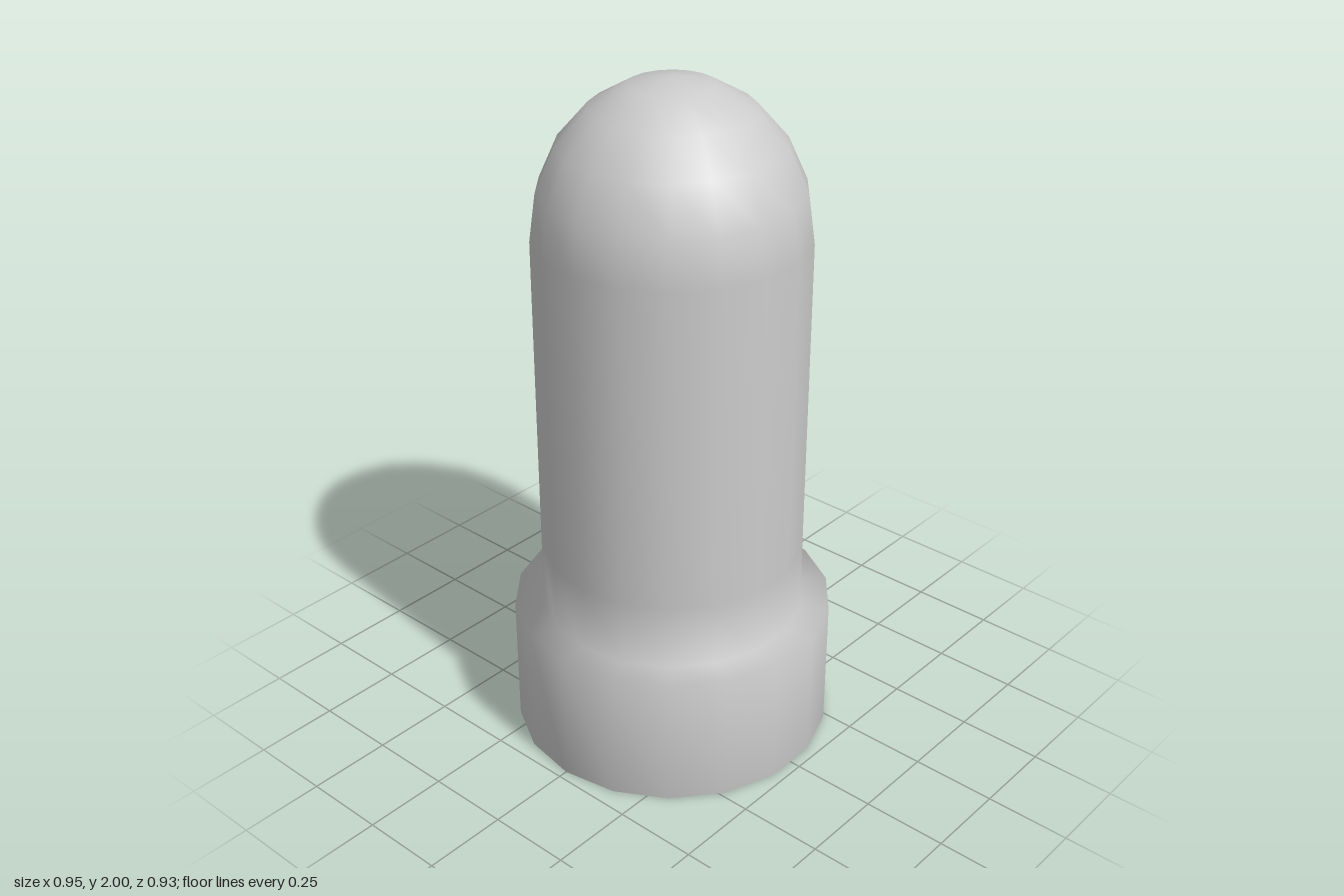
import * as THREE from 'three';

const SIDES = 18;
const COLLAR_RADIUS = 0.473;
const BODY_RADIUS = 0.387;
const DOME_BASE = 1.56;
const DOME_HEIGHT = 0.44;
const DOME_RINGS = 5;

export function createModel() {
  const group = new THREE.Group();
  group.name = 'domedPeg';

  // Flat underside, wide collar and straight shaft
  const profile = [
    [0, 0], [0.43, 0], [COLLAR_RADIUS, 0],
    [COLLAR_RADIUS, 0.4], [BODY_RADIUS, 0.4],
    [BODY_RADIUS, 0.6],
  ].map(([r, y]) => new THREE.Vector2(r, y));

  // Rounded top
  for (let i = 0; i <= DOME_RINGS; i++) {
    const a = (i / DOME_RINGS) * Math.PI / 2;
    const r = i === DOME_RINGS ? 0 : BODY_RADIUS * Math.cos(a);
    profile.push(new THREE.Vector2(r, DOME_BASE + DOME_HEIGHT * Math.sin(a)));
  }

  // One continuous smooth skin, with a corner on the x axis
  const geometry = new THREE.LatheGeometry(profile, SIDES, Math.PI / 2);

  // Level normals at both poles
  const { position, normal } = geometry.attributes;
  for (let i = 0; i < position.count; i++) {
    if (Math.hypot(position.getX(i), position.getZ(i)) < 1e-6) {
      normal.setXYZ(i, 0, position.getY(i) > 1 ? 1 : -1, 0);
    }
  }

  const peg = new THREE.Mesh(geometry, new THREE.MeshStandardMaterial({ color: 0xcccccc }));
  peg.name = 'collaredBody';
  group.add(peg);
  return group;
}
